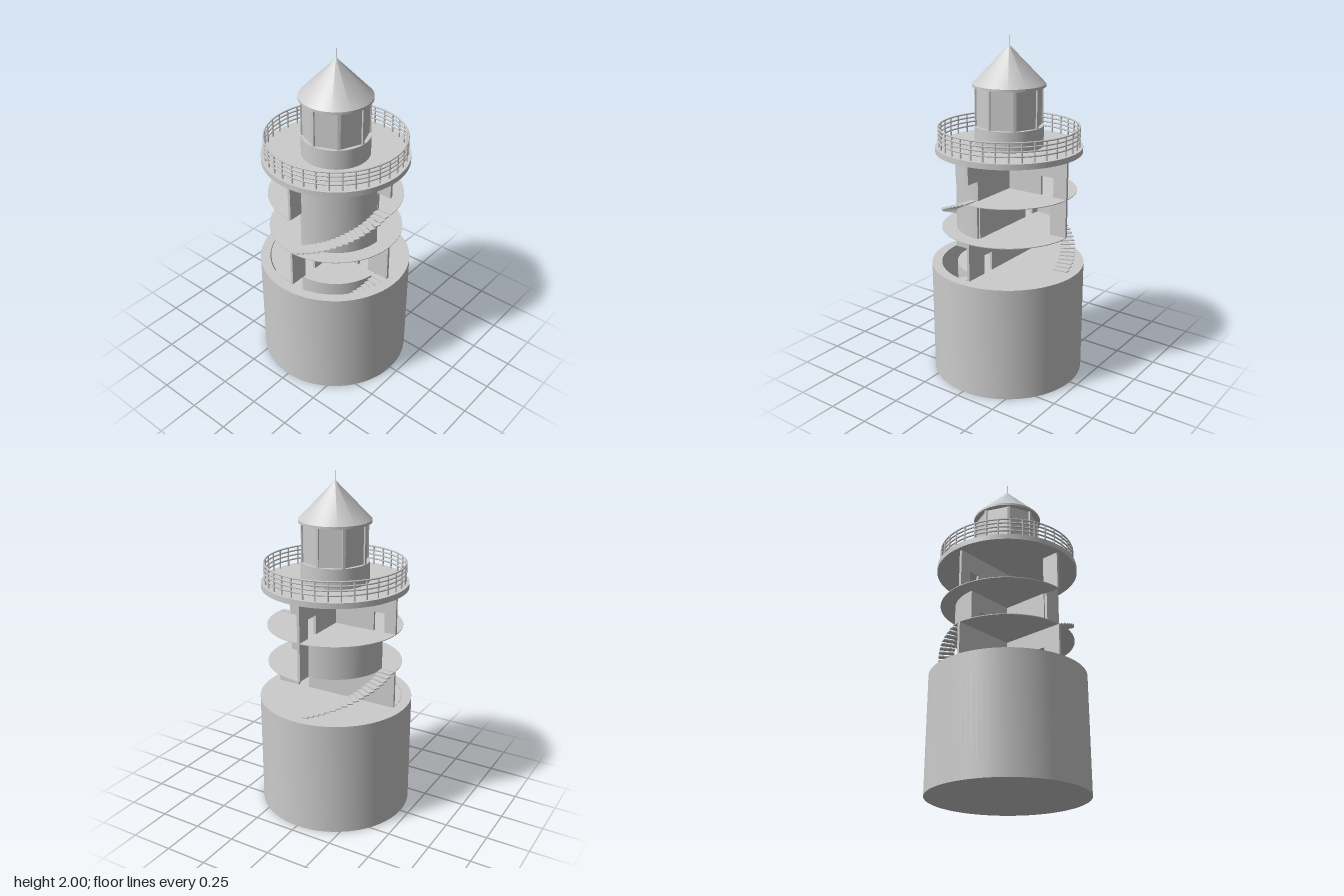
import * as THREE from 'three';
import { toCreasedNormals } from 'three/addons/utils/BufferGeometryUtils.js';

const Q = Math.PI / 2;
// Compass angles measured from +z toward +x
const FRONT = 0, LEFT = Q, BACK = 2 * Q, RIGHT = 3 * Q;
const FLOORS = [0.455, 0.68, 0.905, 1.13], STOREY = 0.225;
const R_OUT = 0.392, R_IN = 0.305, T = 0.016;

export function createModel() {
  const model = new THREE.Group();
  model.name = 'lighthouse';
  const mat = new THREE.MeshStandardMaterial({ color: 0xcccccc, side: THREE.DoubleSide });

  const add = (parent, name, geo, x = 0, y = 0, z = 0) => {
    const m = new THREE.Mesh(geo, mat);
    m.name = name;
    m.position.set(x, y, z);
    parent.add(m);
    return m;
  };
  const group = (parent, name) => {
    const g = new THREE.Group();
    g.name = name;
    parent.add(g);
    return g;
  };
  // Extrude a plan shape upward
  const slab = (parent, name, shape, y, h) => {
    const geo = new THREE.ExtrudeGeometry(shape, { depth: h, bevelEnabled: false, curveSegments: 48 });
    geo.rotateX(-Q);
    return add(parent, name, toCreasedNormals(geo, 0.5), 0, y, 0);
  };
  // Curved wall covering one quadrant from compass angle a
  const curvedWall = (parent, a, y, h) => {
    const s = new THREE.Shape();
    s.absarc(0, 0, R_IN, a - Q, a, false);
    s.absarc(0, 0, R_IN - T, a, a - Q, true);
    slab(parent, 'curvedWall', s, y, h);
  };
  // Round floor with a stair well cut from the quadrant at compass angle a
  const floorPlate = (parent, a, y) => {
    const s = new THREE.Shape();
    s.absarc(0, 0, R_OUT, a, a + 3 * Q, false);
    s.absarc(0, 0, R_IN, a - Q, a, false);
    slab(parent, 'floor', s, y - 0.004, 0.004);
  };
  // Straight radial wall, optionally with a doorway [from, to]
  const wall = (parent, a, r0, r1, y, door) => {
    const g = group(parent, 'radialWall');
    g.rotation.y = a - Q;
    const piece = (b, c, y0, y1) => {
      if (c - b > 0.001) add(g, 'wallPanel', new THREE.BoxGeometry(c - b, y1 - y0, T), (b + c) / 2, (y0 + y1) / 2, 0);
    };
    if (!door) return piece(r0, r1, y, y + STOREY);
    piece(r0, door[0], y, y + STOREY);
    piece(door[0], door[1], y + 0.112, y + STOREY);
    piece(door[1], r1, y, y + STOREY);
  };
  // Quarter-turn flight of open treads
  const stairs = (parent, a, y) => {
    const g = group(parent, 'stairs'), n = 18;
    for (let i = 0; i < n; i++) {
      const t = a + 0.04 + (i + 0.5) / n * (Q - 0.08), r = (R_IN + R_OUT) / 2;
      const step = add(g, 'tread', new THREE.BoxGeometry(0.033, 0.006, R_OUT - R_IN),
        Math.sin(t) * r, y + (i + 1) * STOREY / n - 0.004, Math.cos(t) * r);
      step.rotation.y = t;
    }
  };

  // Hollow drum base with closed bottom
  const drum = [[0, 0], [0.45, 0], [0.45, 0.68], [R_OUT, 0.68], [R_OUT, 0.02], [0, 0.02]];
  add(model, 'base', toCreasedNormals(
    new THREE.LatheGeometry(drum.map(p => new THREE.Vector2(...p)), 96), 0.5));

  const tower = group(model, 'tower');
  tower.position.z = -0.008;

  // Stair wells alternate between opposite quadrants
  const [F0, F1, F2, F3] = FLOORS;
  floorPlate(tower, BACK, F0);
  floorPlate(tower, FRONT, F1);
  floorPlate(tower, BACK, F2);
  floorPlate(tower, FRONT, F3);
  stairs(tower, FRONT, F0);
  stairs(tower, BACK, F1);
  stairs(tower, FRONT, F2);
  curvedWall(tower, FRONT, F0, STOREY - 0.004);
  curvedWall(tower, BACK, F2, STOREY);
  curvedWall(tower, FRONT, F2, 2 * STOREY);

  // First open storey
  wall(tower, RIGHT, 0, R_OUT, F1);
  wall(tower, LEFT, 0, R_OUT, F1, [0.18, 0.252]);
  wall(tower, FRONT, 0, R_OUT, F1, [0.2, 0.285]);
  // Second storey
  wall(tower, RIGHT, 0, R_IN, F2, [0.16, 0.235]);
  wall(tower, LEFT, 0, R_IN - T, F2);
  wall(tower, FRONT, 0, R_IN - T, F2);
  wall(tower, BACK, R_IN - T, R_OUT, F2);
  // Third storey
  wall(tower, RIGHT, 0, R_OUT, F3, [0.255, 0.322]);
  wall(tower, LEFT, 0, R_OUT, F3, [0.306, R_OUT]);
  wall(tower, BACK, 0, R_OUT, F3, [0.225, 0.307]);
  wall(tower, FRONT, R_IN - T, R_OUT, F3);

  // Gallery deck and railing
  add(tower, 'galleryDeck', new THREE.CylinderGeometry(0.42, 0.42, 0.032, 96), 0, 1.37, 0);
  const railing = group(tower, 'railing');
  for (let i = 0; i < 36; i++) {
    const t = (i + 0.5) / 36 * 4 * Q;
    add(railing, 'railPost', new THREE.CylinderGeometry(0.005, 0.005, 0.112, 8),
      Math.sin(t) * 0.4, 1.441, Math.cos(t) * 0.4);
  }
  for (const y of [1.42, 1.446, 1.471, 1.495])
    add(railing, 'rail', new THREE.TorusGeometry(0.4, 0.005, 6, 96).rotateX(Q), 0, y, 0);

  // Lantern room: round plinth, eight panes and corner posts
  const lantern = group(tower, 'lantern');
  add(lantern, 'plinth', new THREE.CylinderGeometry(0.196, 0.196, 0.118, 64), 0, 1.444, 0);
  add(lantern, 'panes', toCreasedNormals(new THREE.CylinderGeometry(0.188, 0.188, 0.222, 8), 0.3), 0, 1.613, 0);
  for (let i = 0; i < 8; i++) {
    const t = i * Q / 2;
    const post = add(lantern, 'cornerPost', new THREE.BoxGeometry(0.016, 0.222, 0.014),
      Math.sin(t) * 0.187, 1.613, Math.cos(t) * 0.187);
    post.rotation.y = t;
  }

  // Conical roof, finial and rod
  const roof = [[0, 1.722], [0.206, 1.722], [0.206, 1.736], [0.02, 1.928], [0.018, 1.932], [0.009, 1.94], [0, 1.952]];
  add(lantern, 'roof', toCreasedNormals(
    new THREE.LatheGeometry(roof.map(p => new THREE.Vector2(...p)), 64), 0.6));
  add(lantern, 'finialRod', new THREE.CylinderGeometry(0.0015, 0.0015, 0.06, 6), 0, 1.97, 0);

  return model;
}
